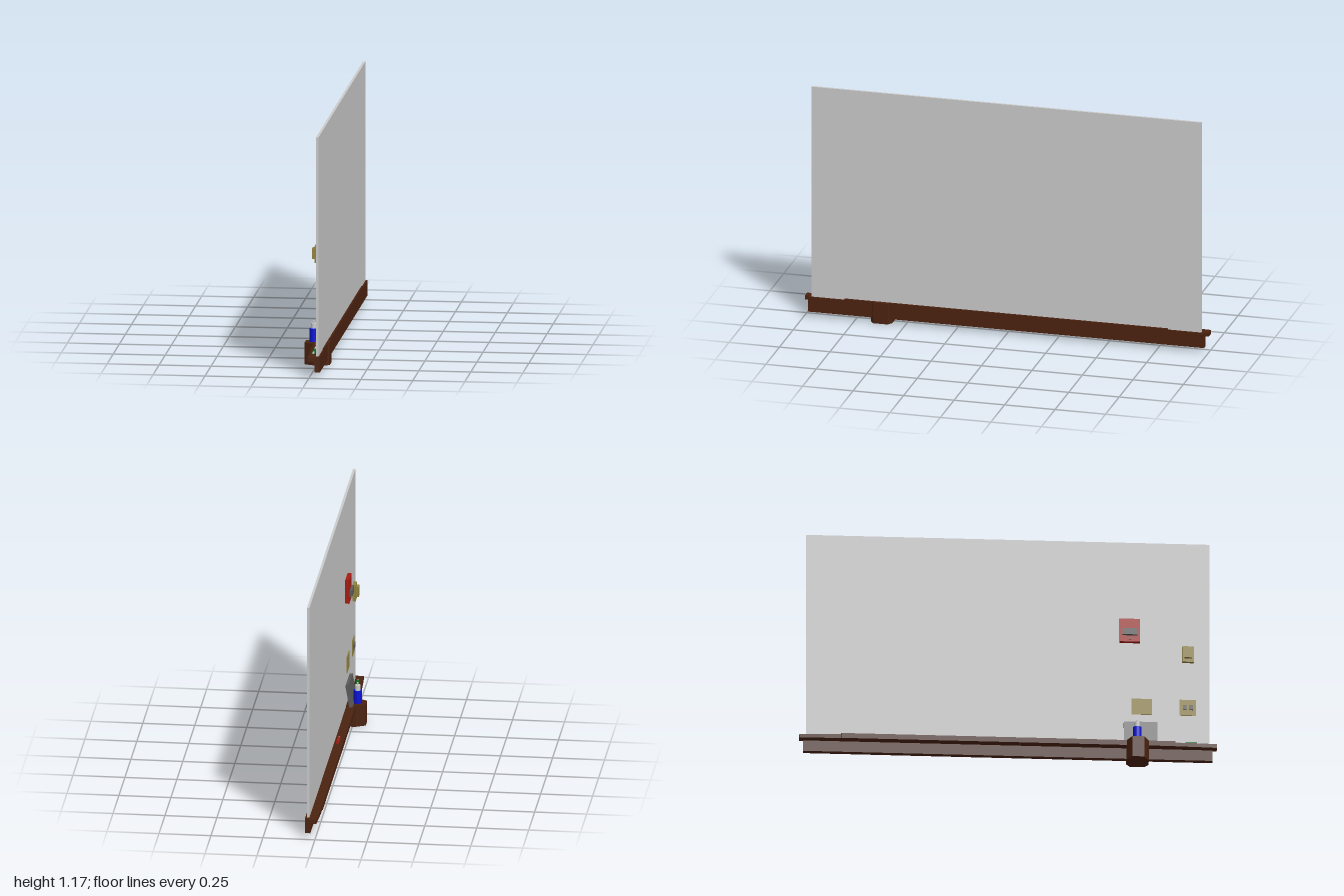
import * as THREE from 'three';

const mat = (color) => new THREE.MeshStandardMaterial({ color });
const M = {
  grey: mat(0xcccccc), wood: mat(0x4c2310), red: mat(0xa81c12), blue: mat(0x0a14d8),
  green: mat(0x0c6a20), tan: mat(0x94853f), dark: mat(0x5c5c5c), white: mat(0xf0f0f0),
};

export function createModel() {
  const root = new THREE.Group();

  function add(name, geometry, material, parent = root) {
    const mesh = new THREE.Mesh(geometry, material);
    mesh.name = name;
    parent.add(mesh);
    return mesh;
  }

  // Box given by its extents along each axis
  function box(name, material, [x0, x1], [y0, y1], [z0, z1], parent = root) {
    const mesh = add(name, new THREE.BoxGeometry(x1 - x0, y1 - y0, z1 - z0), material, parent);
    mesh.position.set((x0 + x1) / 2, (y0 + y1) / 2, (z0 + z1) / 2);
    return mesh;
  }

  // Upright prism from an outline of [x, z] points
  function prism(name, material, outline, y0, y1) {
    const shape = new THREE.Shape(outline.map(([x, z]) => new THREE.Vector2(x, -z)));
    const geometry = new THREE.ExtrudeGeometry(shape, { depth: y1 - y0, bevelEnabled: false });
    geometry.rotateX(-Math.PI / 2);
    geometry.translate(0, y0, 0);
    return add(name, geometry, material);
  }

  // Writing panel, its working face towards -x
  box('boardPanel', M.grey, [0.03, 0.042], [0.09, 1.167], [-0.965, 0.965]);

  // Tray: back rail, and a shelf that narrows slightly towards its ends
  box('trayRail', M.wood, [0.024, 0.05], [0.025, 0.1], [-0.98, 0.98]);
  prism('trayShelf', M.wood, [
    [0.034, -1], [0.034, 1], [-0.006, 1], [-0.011, 0.9], [-0.015, 0.65],
    [-0.015, -0.65], [-0.011, -0.9], [-0.006, -1],
  ], 0.08, 0.1);
  box('trayRidge', M.wood, [0.042, 0.05], [0.1, 0.106], [-0.8, 0.8]);
  box('trayLip', M.wood, [-0.015, -0.01], [0.08, 0.106], [-0.8, 0.8]);

  // Chamfered holder hung on the tray
  prism('bottleHolder', M.wood, [
    [-0.062, 0.592], [-0.015, 0.567], [0.035, 0.567], [0.06, 0.585],
    [0.06, 0.655], [0.035, 0.673], [-0.015, 0.673], [-0.062, 0.648],
  ], 0, 0.106);

  // Spray bottle
  const bottle = new THREE.Group();
  bottle.name = 'sprayBottle';
  bottle.position.set(-0.021, 0, 0.617);
  root.add(bottle);
  for (const [name, material, radius, y0, y1] of [
    ['bottleBody', M.blue, 0.02, 0.1, 0.17],
    ['bottleCap', M.white, 0.013, 0.17, 0.196],
    ['bottleNozzle', M.white, 0.004, 0.196, 0.209],
  ]) {
    add(name, new THREE.CylinderGeometry(radius, radius, y1 - y0, 20), material, bottle)
      .position.y = (y0 + y1) / 2;
  }

  // Slab leaning against the panel
  const slab = add('leaningSlab', new THREE.BoxGeometry(0.018, 0.115, 0.16), M.dark);
  slab.position.set(0.014, 0.16, 0.635);
  slab.rotation.z = -0.17;

  // Markers lying along the tray
  function marker(name, material, z0, z1, capEnd) {
    const group = new THREE.Group();
    group.name = name;
    root.add(group);
    for (const [part, m, r, a, b] of [
      ['markerBarrel', material, 0.008, z0, z1],
      ['markerTip', M.white, 0.005, z1, capEnd],
    ]) {
      const geometry = new THREE.CylinderGeometry(r, r, Math.abs(b - a), 14).rotateX(Math.PI / 2);
      add(part, geometry, m, group).position.set(0.012, 0.108, (a + b) / 2);
    }
  }
  marker('redMarker', M.red, 0.055, 0.11, 0.124);
  marker('greenMarker', M.green, 0.85, 0.905, 0.918);
  marker('whiteMarker', M.white, 0.785, 0.835, 0.77);

  // Red alarm box with a pull handle and button
  box('alarmBox', M.red, [0.01, 0.031], [0.638, 0.758], [0.535, 0.632]);
  box('alarmHandle', M.dark, [-0.003, 0.012], [0.67, 0.702], [0.548, 0.62]);
  box('alarmButton', M.dark, [0.006, 0.012], [0.648, 0.656], [0.58, 0.588]);

  // Thermostat with a raised cover
  box('thermostatBase', M.tan, [0.014, 0.031], [0.54, 0.622], [0.835, 0.89]);
  box('thermostatCover', M.tan, [0.001, 0.016], [0.558, 0.61], [0.845, 0.88]);

  // Blank wall plate and switch plate
  box('blankPlate', M.tan, [0.027, 0.031], [0.262, 0.345], [0.592, 0.69]);
  box('switchPlate', M.tan, [0.027, 0.031], [0.262, 0.345], [0.822, 0.902]);
  for (const z of [0.847, 0.877]) {
    box('switchToggle', M.dark, [0.021, 0.028], [0.291, 0.316], [z - 0.009, z + 0.009]);
  }

  return root;
}
